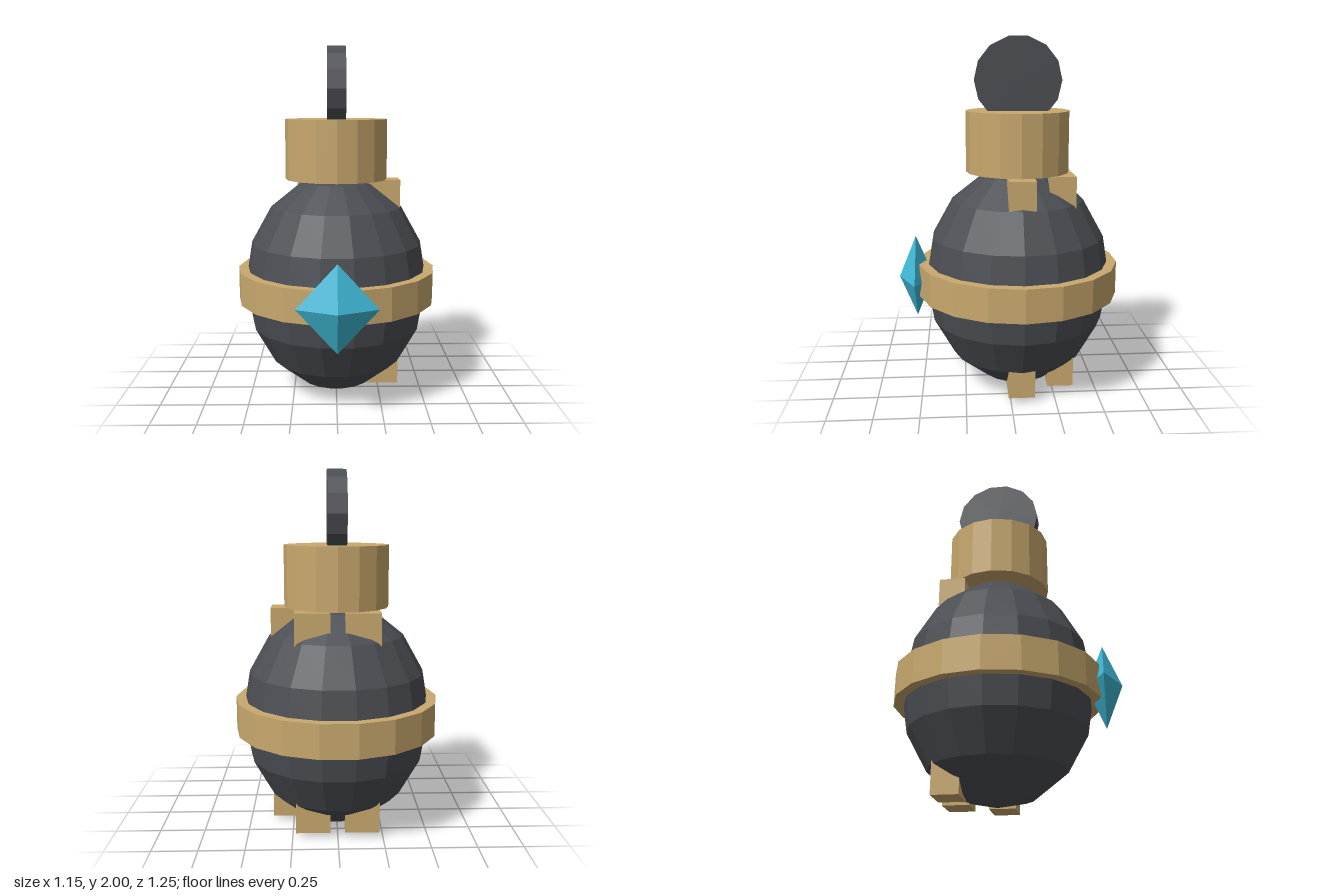
import * as THREE from 'three';

function material(name, color) {
  const m = new THREE.MeshStandardMaterial({ color, flatShading: true });
  m.name = name;
  return m;
}

export function createModel() {
  const iron = material('dark iron', 0x4b4e53);
  const brass = material('brass', 0xc9a96e);
  const crystal = material('cyan crystal', 0x3fb8d6);

  const model = new THREE.Group();
  model.name = 'ornament';
  const axisZ = -0.06; // the vertical axis sits slightly behind the origin
  const midY = 0.64;

  function add(name, geometry, mat, x, y, z) {
    const mesh = new THREE.Mesh(geometry, mat);
    mesh.name = name;
    mesh.position.set(x, y, z);
    model.add(mesh);
    return mesh;
  }

  // Faceted egg-shaped body
  const body = new THREE.SphereGeometry(0.535, 18, 8);
  body.scale(1, midY / 0.535, 1);
  add('body', body, iron, 0, midY, axisZ);

  // Belt round the middle and collar on top
  const belt = new THREE.CylinderGeometry(0.575, 0.575, 0.187, 18, 1, false, Math.PI / 2);
  add('belt', belt, brass, 0, midY, axisZ);
  add('collar', new THREE.CylinderGeometry(0.293, 0.293, 0.343, 16), brass, 0, 1.425, axisZ);

  // Upright disc standing in the collar, its axis along x
  const disc = new THREE.CylinderGeometry(0.243, 0.243, 0.105, 14);
  disc.rotateZ(Math.PI / 2); // corners point to front and back, flat edge on top
  add('topDisc', disc, iron, 0, 1.763, axisZ);

  // Three studs above and three below, on the side and back
  const stud = new THREE.BoxGeometry(0.19, 0.19, 0.147);
  for (let i = 0; i < 3; i++) {
    const a = (i * Math.PI) / 3;
    const x = 0.271 * Math.cos(a);
    const z = axisZ - 0.268 * Math.sin(a);
    add('upperStud', stud, brass, x, 1.157, z);
    add('lowerStud', stud, brass, x, 0.124, z);
  }

  // Flattened gem on the front of the belt
  const gem = new THREE.OctahedronGeometry(1);
  gem.scale(0.218, 0.24, 0.098);
  add('gem', gem, crystal, 0, midY, 0.528);

  return model;
}
